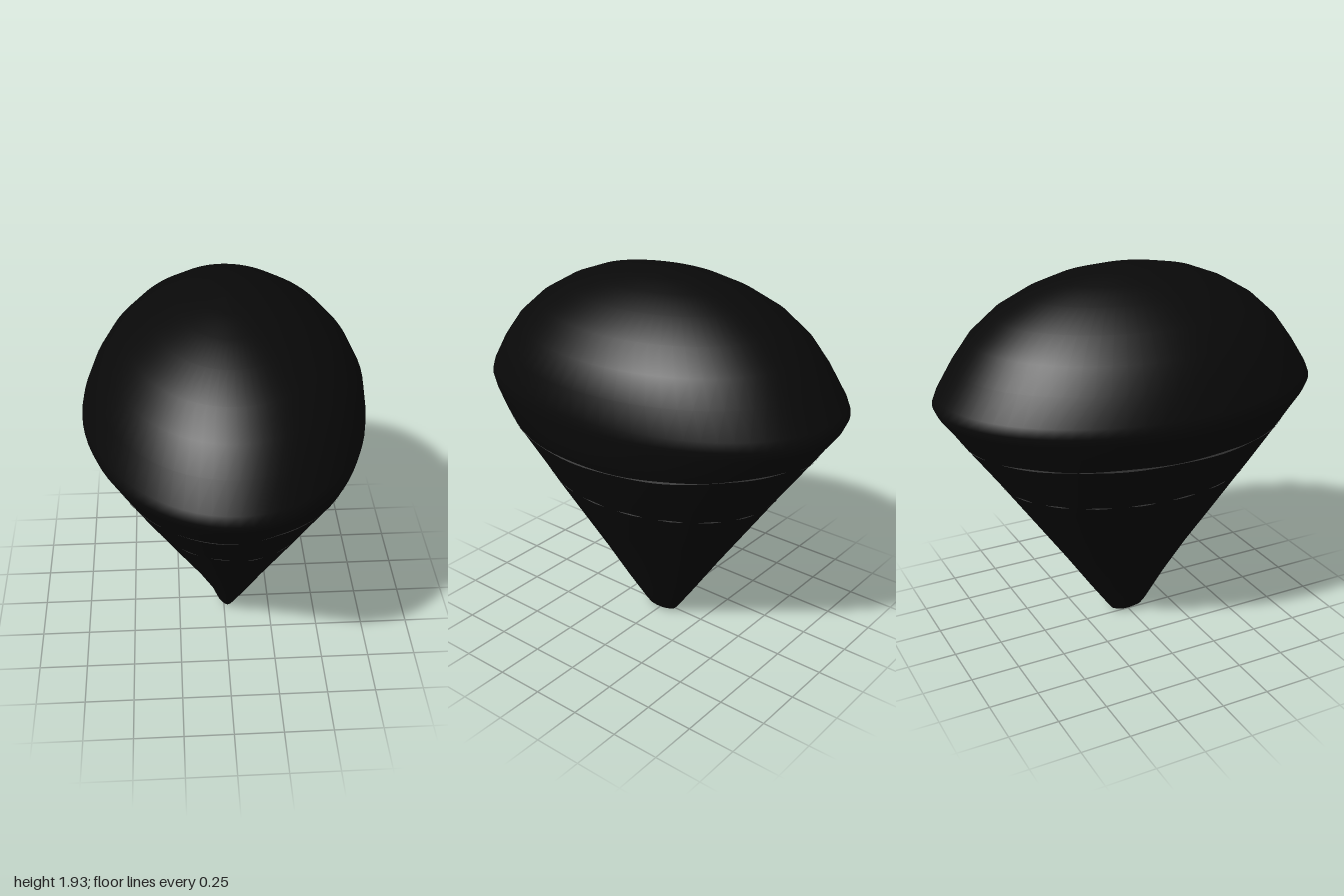
import * as THREE from 'three';

// Cross-sections from tip to crown: [y, left edge x, right edge x, half depth]
const CX = 0.02;
const SECTIONS = [
  [0, 0.02, 0.02, 0], [0.002, 0, 0.04, 0.055], [0.018, -0.02, 0.06, 0.09], [0.05, -0.04, 0.08, 0.115],
  [0.2, -0.09, 0.165, 0.22], [0.4, -0.195, 0.27, 0.355], [0.6, -0.315, 0.38, 0.495],
  [0.8, -0.43, 0.49, 0.635], [0.9, -0.49, 0.54, 0.705], [1.12, -0.605, 0.655, 0.865],
  [1.2, -0.645, 0.68, 0.92], [1.28, -0.685, 0.69, 0.98], [1.325, -0.7, 0.695, 1],
  [1.37, -0.69, 0.695, 0.98], [1.5, -0.64, 0.675, 0.895], [1.62, -0.57, 0.615, 0.805],
  [1.73, -0.47, 0.52, 0.68], [1.82, -0.34, 0.39, 0.525], [1.88, -0.22, 0.27, 0.37],
  [1.915, -0.1, 0.15, 0.2], [1.93, 0.02, 0.02, 0],
];

// Linear lookup in a table whose first column rises
function lookup(table, t) {
  let i = 0;
  while (i < table.length - 2 && t > table[i + 1][0]) i++;
  const a = table[i], b = table[i + 1];
  const k = THREE.MathUtils.clamp((t - a[0]) / (b[0] - a[0]), 0, 1);
  return a.map((v, j) => v + (b[j] - v) * k);
}

// Point on the egg-shaped shell at a height and angle, pushed out by lift
function shellPoint(section, angle, lift = 0) {
  const [y, left, right, depth] = section;
  const c = Math.cos(angle), s = Math.sin(angle);
  const rx = c > 0 ? right - CX : CX - left;
  return [CX + c * (rx + lift), y, s * (depth + lift)];
}

function makeGeometry(positions, indices) {
  const geo = new THREE.BufferGeometry();
  geo.setAttribute('position', new THREE.Float32BufferAttribute(positions, 3));
  geo.setIndex(indices);
  geo.computeVertexNormals();
  return geo;
}

// Closed smooth shell lofted through the sections
function shellGeometry(sides) {
  const pos = [], idx = [];
  SECTIONS.forEach((section, r) => {
    for (let i = 0; i < sides; i++) {
      pos.push(...shellPoint(section, (i / sides) * Math.PI * 2));
      if (r === SECTIONS.length - 1) continue;
      const a = r * sides + i, b = r * sides + ((i + 1) % sides);
      idx.push(a, a + sides, b, b, a + sides, b + sides);
    }
  });
  return makeGeometry(pos, idx);
}

// Thin broken band around the shell, tapering at each dash
function seamGeometry(heights, widthAt) {
  const steps = 288, pos = [], idx = [];
  for (let i = 0; i <= steps; i++) {
    const angle = (i / steps) * Math.PI * 2;
    const y = lookup(heights, Math.cos(angle))[1];
    const w = Math.max(widthAt(angle), 0);
    for (const side of [-0.5, 0.5]) {
      pos.push(...shellPoint(lookup(SECTIONS, y + side * w), angle, 0.003));
    }
    if (i < steps && w > 0.002) {
      const a = i * 2;
      idx.push(a, a + 1, a + 2, a + 2, a + 1, a + 3);
    }
  }
  return makeGeometry(pos, idx);
}

export function createModel() {
  const black = new THREE.MeshStandardMaterial({ color: 0x090909 });
  black.name = 'black';
  const grey = new THREE.MeshStandardMaterial({ color: 0x5c5c5c, side: THREE.DoubleSide });
  grey.name = 'grey';

  const group = new THREE.Group();
  const add = (name, geometry, material) => {
    const mesh = new THREE.Mesh(geometry, material);
    mesh.name = name;
    group.add(mesh);
  };

  // Tapered body with domed crown
  add('body', shellGeometry(72), black);

  // Upper seam: solid on the left side, dashed elsewhere
  add('upperSeam', seamGeometry(
    [[-1, 1.12], [0, 1.122], [0.28, 1.165], [0.6, 1.15], [0.9, 1.12], [1, 1.112]],
    (a) => 0.005 + 0.005 * Math.cos(a) ** 2 + 0.005 * Math.sin(a * 11 + 1)), grey);

  // Lower seam: short dashes
  add('lowerSeam', seamGeometry(
    [[-1, 0.865], [0, 0.87], [0.18, 0.838], [1, 0.838]],
    (a) => 0.004 + 0.006 * Math.sin(a * 19 + 0.5)), grey);

  return group;
}
